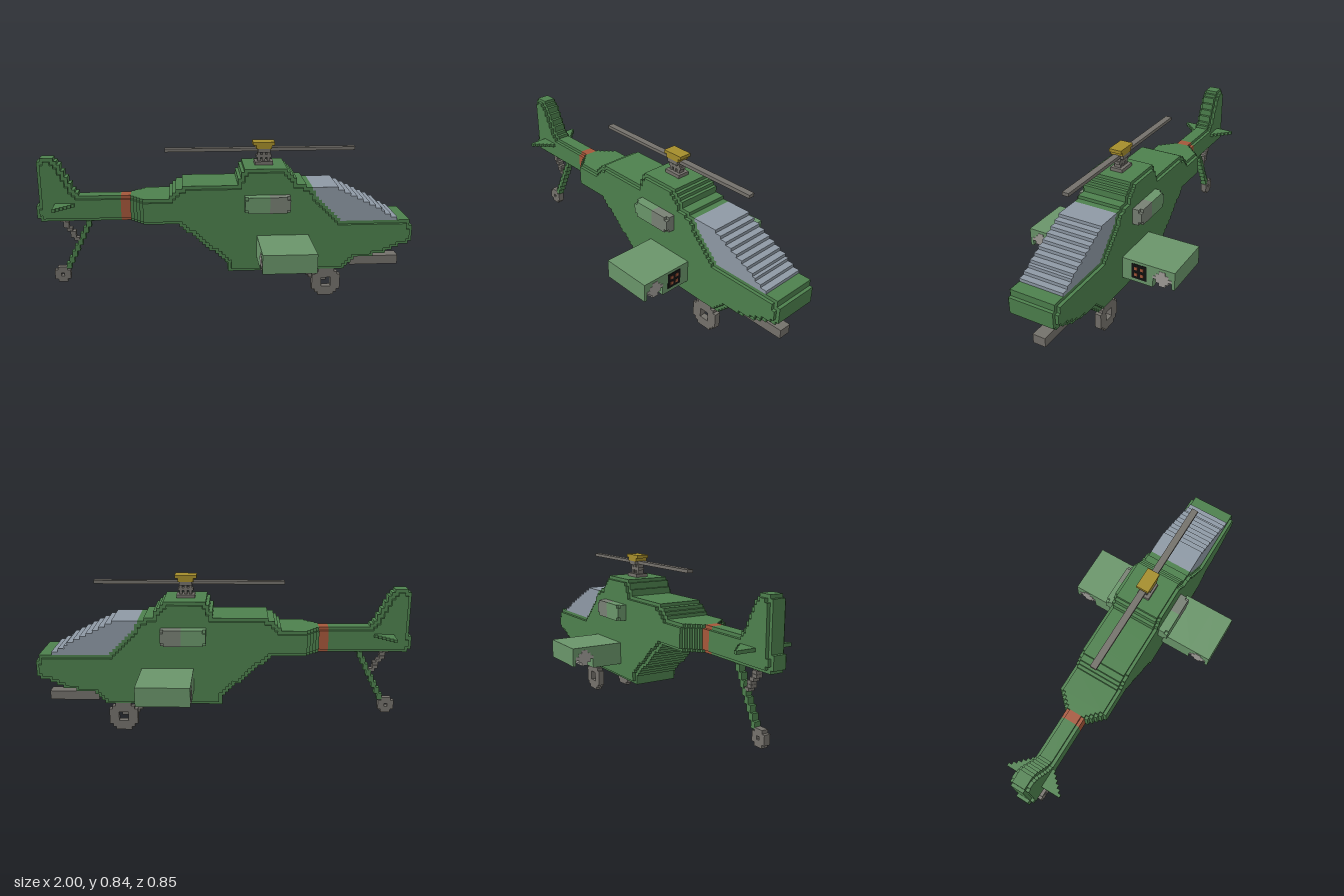
import * as THREE from 'three';
import { mergeGeometries } from 'three/addons/utils/BufferGeometryUtils.js';

const N = 117, V = 2 / N; // block size
const GREEN = 0x4d804d, LIGHT = 0x6a956a, GREY = 0x74716b, GLASS = 0x8e99a5;
const RED = 0xa5573a, YELLOW = 0xa58d2b, BLACK = 0x111111, PALE = 0xa09d98;

const snap = (v) => Math.round(v / V) * V;

// Box between two corners
function block(x0, x1, y0, y1, z0, z1) {
  return new THREE.BoxGeometry(x1 - x0, y1 - y0, z1 - z0)
    .translate((x0 + x1) / 2, (y0 + y1) / 2, (z0 + z1) / 2);
}

// Piecewise linear curve through [x, value] points
function curve(points) {
  return (x) => {
    for (let i = 1; i < points.length; i++) {
      const [a, va] = points[i - 1], [b, vb] = points[i];
      if (x <= b) return b === a ? vb : va + (vb - va) * Math.max(0, (x - a) / (b - a));
    }
    return points[points.length - 1][1];
  };
}

// Stepped slab of block columns; equal neighbours become one box
function columns(from, to, top, bottom, half) {
  const parts = [];
  let run = null;
  const flush = () => {
    if (run && run.t - run.b > V / 2) {
      parts.push(block(-1 + run.i0 * V, -1 + run.i1 * V, run.b, run.t, -run.h, run.h));
    }
  };
  for (let i = from; i < to; i++) {
    const t = top(i), b = bottom(i), h = half(i);
    if (run && run.t === t && run.b === b && run.h === h) run.i1 = i + 1;
    else { flush(); run = { i0: i, i1: i + 1, t, b, h }; }
  }
  flush();
  return parts;
}

// Block wheel with a square hole, r2 being the squared radius in blocks
function wheel(x, y, z0, z1, n, r2, hole) {
  const parts = [];
  for (let j = -n; j <= n; j++) for (let k = -n; k <= n; k++) {
    if (j * j + k * k > r2 || Math.max(Math.abs(j), Math.abs(k)) <= hole) continue;
    parts.push(block(x + (j - 0.5) * V, x + (j + 0.5) * V, y + (k - 0.5) * V, y + (k + 0.5) * V, z0, z1));
  }
  return parts;
}

// Staircase strut between two points
function strut(x0, y0, x1, y1, w) {
  const parts = [], n = Math.round(Math.abs(y1 - y0) / V);
  for (let i = 0; i < n; i++) {
    const x = snap(x0 + (x1 - x0) * (i + 0.5) / n), y = y0 + (y1 - y0) * i / n;
    parts.push(block(x - w / 2, x + w / 2, Math.min(y, y + Math.sign(y1 - y0) * V),
      Math.max(y, y + Math.sign(y1 - y0) * V), -V, V));
  }
  return parts;
}

export function createModel() {
  const group = new THREE.Group();
  const add = (name, color, parts) => {
    const mat = new THREE.MeshStandardMaterial({ color, flatShading: true });
    const mesh = new THREE.Mesh(mergeGeometries(parts), mat);
    mesh.name = name;
    group.add(mesh);
  };

  // Fuselage, tail boom and fin outline
  const topCurve = curve([[-1, 0.52], [-0.985, 0.52], [-0.985, 0.745], [-0.965, 0.77], [-0.895, 0.77],
    [-0.87, 0.725], [-0.78, 0.565], [-0.31, 0.565], [-0.225, 0.635], [0.05, 0.635], [0.1, 0.72],
    [0.31, 0.72], [0.375, 0.64], [0.435, 0.62], [0.61, 0.43], [0.97, 0.43], [1, 0.375]]);
  const bottomCurve = curve([[-1, 0.45], [-0.985, 0.43], [-0.26, 0.43], [0.01, 0.2], [0.01, 0.16],
    [0.64, 0.16], [0.7, 0.215], [0.84, 0.24], [0.98, 0.3], [1, 0.3]]);
  const halfCurve = curve([[-1, 3 * V], [-0.51, 3 * V], [-0.42, 8 * V], [1, 8 * V]]);
  const at = (f) => (i) => snap(f(-1 + (i + 0.5) * V));
  const top = at(topCurve), bottom = at(bottomCurve), half = at(halfCurve);
  const topIn = (i) => Math.min(top(i - 1), top(i), top(i + 1)) - V;
  const bottomIn = (i) => Math.max(bottom(i - 1), bottom(i), bottom(i + 1)) + V;
  // Narrow full outline plus a wider, inset layer for the stepped edges
  const hull = (from, to) => [
    ...columns(from, to, top, bottom, (i) => half(i) - V),
    ...columns(Math.max(from, 1), Math.min(to, N - 1), topIn, bottomIn, half),
  ];
  add('tail', GREEN, hull(0, 26));
  add('tailBand', RED, hull(26, 29));
  add('fuselage', GREEN, hull(29, N));

  // Canopy
  const glassTop = at(curve([[0.43, 0.62], [0.59, 0.61], [0.61, 0.6], [0.93, 0.43]]));
  add('canopy', GLASS, columns(84, 113, glassTop, top, () => 7 * V));

  // Horizontal stabilizers, tapering forward
  const stab = [];
  for (let i = 0; i < 6; i++) {
    const x = -0.9 + i * V, w = 9 * V - i * V;
    stab.push(block(x, x + V, 30 * V, 31 * V, -w, w));
  }
  add('stabilizer', GREEN, stab);

  // Rotor
  add('rotorBlade', GREY, [block(-0.318, 0.69, 0.79, 0.807, -V, V)]);
  add('rotorHub', YELLOW, [
    block(0.162, 0.245, 0.805, 0.823, -2 * V, 2 * V),
    block(0.145, 0.26, 0.823, 0.84, -2 * V, 2 * V),
  ]);
  const mast = [block(0.155, 0.252, 0.718, 0.736, -2 * V, 2 * V),
    block(0.162, 0.245, 0.755, 0.77, -V, V), block(0.17, 0.237, 0.785, 0.805, -2 * V, 2 * V)];
  for (const x of [0.17, 0.196, 0.222]) mast.push(block(x, x + V * 0.9, 0.73, 0.79, -V, V));
  add('rotorMast', GREY, mast);

  for (const side of [1, -1]) {
    const tag = side > 0 ? 'Left' : 'Right';
    const sb = (x0, x1, y0, y1, a, b) =>
      block(x0, x1, y0, y1, Math.min(a * side, b * side), Math.max(a * side, b * side));

    // Engine pod with notched end corners
    add('enginePodRear' + tag, LIGHT, [
      sb(0.11, 0.222, 0.497, 0.583, 0.12, 0.188),
      sb(0.093, 0.11, 0.497, 0.583, 0.12, 0.171),
      sb(0.093, 0.11, 0.514, 0.566, 0.171, 0.188),
    ]);
    add('enginePodFront' + tag, 0x788074, [
      sb(0.222, 0.313, 0.497, 0.583, 0.12, 0.188),
      sb(0.313, 0.33, 0.497, 0.583, 0.12, 0.171),
      sb(0.313, 0.33, 0.514, 0.566, 0.171, 0.188),
    ]);

    // Stub wing with an open channel near the tip
    add('wing' + tag, LIGHT, [
      sb(0.16, 0.435, 0.24, 0.36, 0.12, 0.308),
      sb(0.16, 0.435, 0.293, 0.36, 0.308, 0.41),
      sb(0.16, 0.435, 0.26, 0.36, 0.41, 0.427),
    ]);

    // Missile seated in the channel
    const missile = [];
    for (let k = -2; k <= 2; k++) {
      const w = (3 - Math.abs(k)) * V, y = 0.302 + k * V;
      missile.push(sb(0.158, 0.437, y - V / 2, y + V / 2, 0.359 - w, 0.359 + w));
    }
    add('missile' + tag, PALE, missile);

    // Rocket launcher face and tubes
    add('launcher' + tag, BLACK, [sb(0.4, 0.437, 0.26, 0.345, 0.19, 0.274)]);
    const tubes = [];
    for (const z of [0.206, 0.24]) for (const y of [0.276, 0.311]) {
      tubes.push(sb(0.42, 0.439, y, y + V, z, z + V));
    }
    add('rocketTubes' + tag, RED, tubes);

    // Main wheel
    add('mainWheel' + tag, GREY, wheel(0.545, 4.5 * V, ...(side > 0 ? [5 * V, 7 * V] : [-7 * V, -5 * V]), 4, 20, 1));
  }

  // Nose gun
  add('gun', GREY, [
    block(0.69, 0.96, 0.14, 0.19, -2 * V, 2 * V),
    block(0.71, 0.81, 0.19, 0.225, -2 * V, 2 * V),
  ]);

  // Tail landing gear
  add('tailWheel', GREY, wheel(-0.893, 0.112, -V, V, 2, 5, 0));
  add('tailLeg', GREEN, strut(-0.86, 0.145, -0.715, 0.435, 1.6 * V));
  add('tailBrace', GREY, strut(-0.795, 0.308, -0.875, 0.435, 1.7 * V));

  return group;
}
